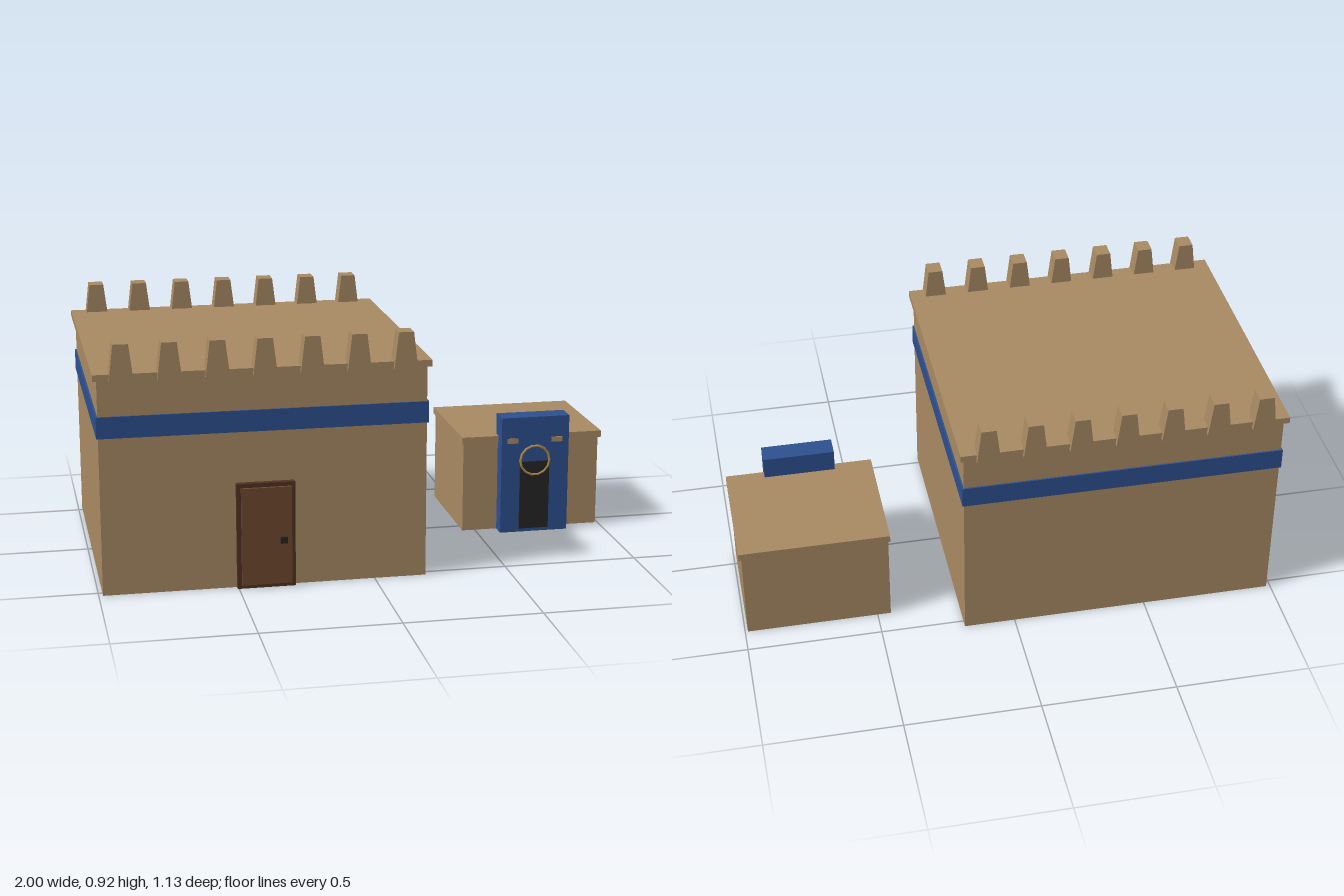
import * as THREE from 'three';

const material = (name, color) => {
  const m = new THREE.MeshStandardMaterial({ color });
  m.name = name;
  return m;
};

export function createModel() {
  const model = new THREE.Group();
  const clay = material('clay', 0xa88a63);
  const blue = material('blue paint', 0x2d5090);
  const wood = material('door wood', 0x70492e);
  const darkWood = material('dark wood', 0x4f3220);
  const black = material('black', 0x262626);
  const gold = material('gold', 0xb08a4a);

  const add = (parent, name, geometry, mat) => {
    const mesh = new THREE.Mesh(geometry, mat);
    mesh.name = name;
    parent.add(mesh);
    return mesh;
  };
  // Box given by its limits on each axis
  const box = (parent, name, mat, [x0, x1], [y0, y1], [z0, z1]) =>
    add(parent, name, new THREE.BoxGeometry(x1 - x0, y1 - y0, z1 - z0), mat)
      .position.set((x0 + x1) / 2, (y0 + y1) / 2, (z0 + z1) / 2);

  // Main hall
  const hall = new THREE.Group();
  hall.name = 'mainHall';
  model.add(hall);
  box(hall, 'hallWalls', clay, [-0.985, 0.19], [0, 0.79], [-0.53, 0.53]);
  box(hall, 'hallBand', blue, [-0.991, 0.196], [0.578, 0.656], [-0.536, 0.536]);
  box(hall, 'hallRoof', clay, [-1, 0.204], [0.787, 0.811], [-0.549, 0.549]);

  // Tapered merlons along the front and back roof edges
  const profile = new THREE.Shape([[-0.043, 0], [0.043, 0], [0.027, 0.132], [-0.027, 0.132]]
    .map(([x, y]) => new THREE.Vector2(x, y)));
  const merlonShape = new THREE.ExtrudeGeometry(profile, { depth: 0.066, bevelEnabled: false });
  merlonShape.translate(0, 0, -0.033);
  for (const z of [-0.532, 0.53]) {
    for (let i = 0; i < 7; i++) {
      add(hall, 'merlon', merlonShape, clay).position.set(-0.901 + i * 0.1677, 0.787, z);
    }
  }

  // Hall door
  box(hall, 'doorFrame', darkWood, [-0.505, -0.294], [0, 0.391], [0.52, 0.552]);
  box(hall, 'doorPanel', wood, [-0.49, -0.308], [0.015, 0.376], [0.55, 0.562]);
  box(hall, 'doorHandle', black, [-0.35, -0.325], [0.166, 0.19], [0.56, 0.569]);

  // Side shrine
  const shrine = new THREE.Group();
  shrine.name = 'sideShrine';
  model.add(shrine);
  box(shrine, 'shrineWalls', clay, [0.45, 0.99], [0, 0.355], [-0.401, 0.057]);
  box(shrine, 'shrineRoof', clay, [0.443, 1], [0.352, 0.378], [-0.408, 0.066]);
  box(shrine, 'portal', blue, [0.587, 0.855], [0, 0.46], [0.032, 0.113]);
  box(shrine, 'portalDoor', black, [0.661, 0.777], [0.015, 0.284], [0.11, 0.121]);
  for (const x of [0.631, 0.807]) {
    box(shrine, 'portalPlate', clay, [x - 0.022, x + 0.022], [0.358, 0.378], [0.111, 0.117]);
  }

  // Ring above the portal door
  add(shrine, 'portalRing', new THREE.TorusGeometry(0.058, 0.005, 6, 14), gold)
    .position.set(0.719, 0.289, 0.12);

  return model;
}
